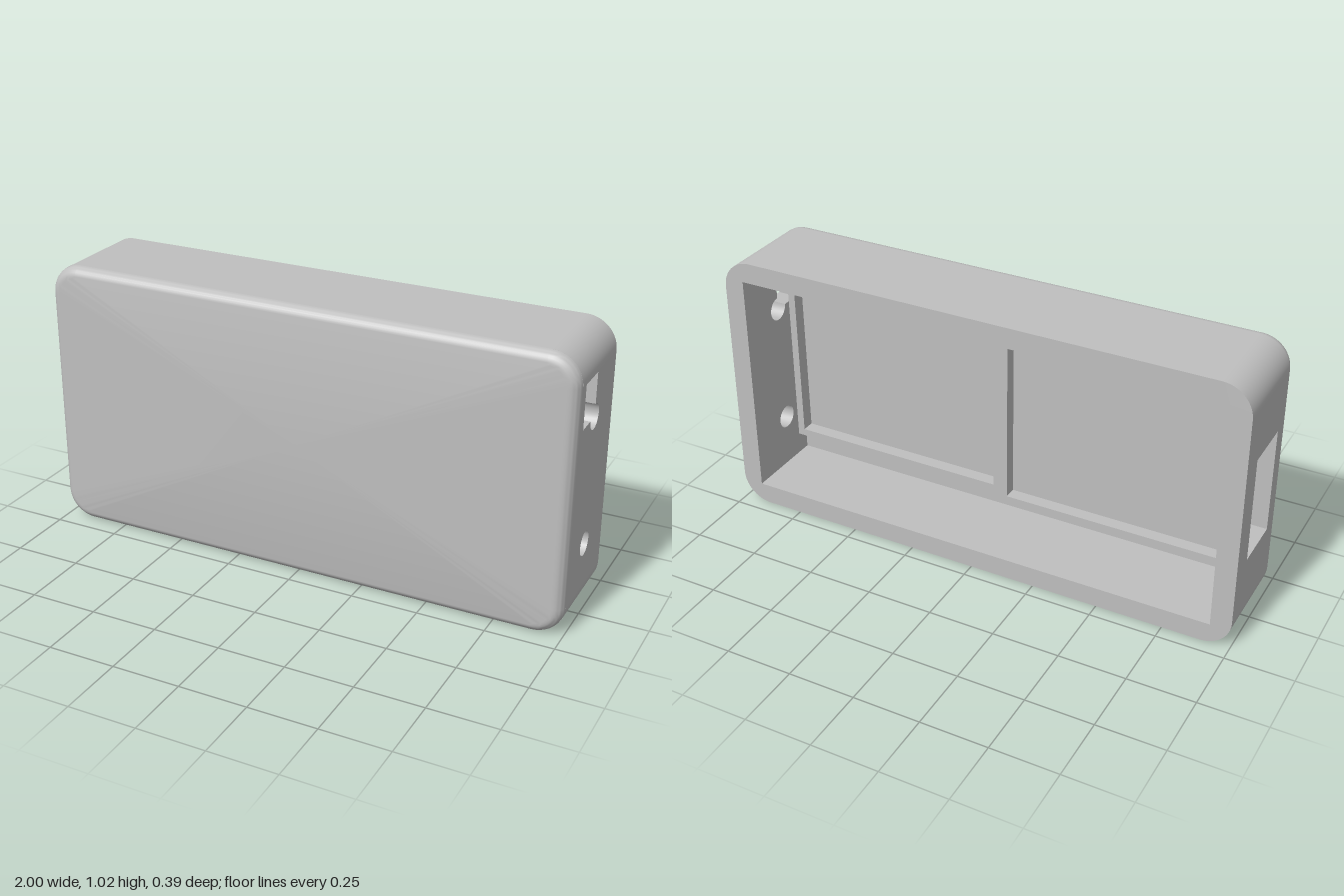
import * as THREE from 'three';
import { toCreasedNormals } from 'three/addons/utils/BufferGeometryUtils.js';

const H = 1.02, WALL = 0.077, R = 0.11, FILLET = 0.04, STEPS = 10;
const BACK = -0.196, FRONT = 0.196, FLOOR = 0.119, RIB_TOP = 0.07;
const RIM = FRONT - FILLET; // where the front rounding starts
const IN = 1 - WALL;

const grey = new THREE.MeshStandardMaterial({ color: 0xbfbfbf });
grey.name = 'grey';

function rect(target, x0, x1, y0, y1) {
  target.moveTo(x0, y0);
  target.lineTo(x1, y0);
  target.lineTo(x1, y1);
  target.lineTo(x0, y1);
  target.closePath();
  return target;
}

function extrude(shape, depth) {
  const g = new THREE.ExtrudeGeometry(shape, { depth, bevelEnabled: false, curveSegments: STEPS });
  return toCreasedNormals(g, 0.5);
}

// Rounded rectangle outline, moved inwards by inset
function ring(inset) {
  const pts = [], r = R - inset;
  const corners = [[1 - R, R], [1 - R, H - R], [R - 1, H - R], [R - 1, R]];
  corners.forEach(([cx, cy], k) => {
    for (let i = 0; i <= STEPS; i++) {
      const a = (k - 1 + i / STEPS) * Math.PI / 2;
      pts.push([cx + r * Math.cos(a), cy + r * Math.sin(a)]);
    }
  });
  return pts;
}

// Front face with its rounded edge
function frontGeometry() {
  const pos = [], idx = [], levels = 8;
  let n = 0;
  for (let i = 0; i <= levels; i++) {
    const a = i / levels * Math.PI / 2;
    const pts = ring(FILLET * (1 - Math.cos(a)));
    n = pts.length;
    pts.forEach(([x, y]) => pos.push(x, y, RIM + FILLET * Math.sin(a)));
  }
  const centre = pos.length / 3;
  pos.push(0, H / 2, FRONT);
  for (let j = 0; j < n; j++) {
    const k = (j + 1) % n;
    for (let i = 0; i < levels; i++) {
      const a = i * n + j, b = i * n + k;
      idx.push(a, b, b + n, a, b + n, a + n);
    }
    idx.push(levels * n + j, levels * n + k, centre);
  }
  const g = new THREE.BufferGeometry();
  g.setAttribute('position', new THREE.Float32BufferAttribute(pos, 3));
  g.setIndex(idx);
  return toCreasedNormals(g, 0.6);
}

// Bottom wall with both rounded corners; the top wall is its half turn
function endWallGeometry() {
  const s = new THREE.Shape();
  s.moveTo(-1, R);
  s.absarc(R - 1, R, R, Math.PI, Math.PI * 1.5, false);
  s.lineTo(1 - R, 0);
  s.absarc(1 - R, R, R, -Math.PI / 2, 0, false);
  s.lineTo(IN, R);
  s.lineTo(IN, WALL);
  s.lineTo(-IN, WALL);
  s.lineTo(-IN, R);
  s.closePath();
  return extrude(s, RIM - BACK).translate(0, 0, BACK);
}

// Flat side wall drawn in (z, y) and extruded across its thickness
function sideWallGeometry(holes, outerX) {
  const s = rect(new THREE.Shape(), BACK, RIM, R, H - R);
  s.holes.push(...holes);
  return extrude(s, WALL).rotateY(-Math.PI / 2).translate(outerX, 0, 0);
}

// Raised rectangular rim on the cavity floor
function frameGeometry(x0, x1, y0, y1) {
  const t = 0.028;
  const s = rect(new THREE.Shape(), x0, x1, y0, y1);
  s.holes.push(rect(new THREE.Path(), x0 + t, x1 - t, y0 + t, y1 - t));
  return extrude(s, FLOOR - RIB_TOP).translate(0, 0, RIB_TOP);
}

export function createModel() {
  const group = new THREE.Group();
  group.name = 'enclosure';
  const add = (name, geometry) => {
    const mesh = new THREE.Mesh(geometry, grey);
    mesh.name = name;
    group.add(mesh);
    return mesh;
  };

  add('frontPanel', frontGeometry());
  add('bottomWall', endWallGeometry());
  const top = add('topWall', endWallGeometry());
  top.rotation.z = Math.PI;
  top.position.y = H;

  // Cavity floor, facing the open back
  add('cavityFloor', new THREE.PlaneGeometry(2 * IN, H - 2 * WALL)
    .rotateY(Math.PI).translate(0, H / 2, FLOOR));

  // Left wall: round hole, and a square notch joined to a second round hole
  const r = 0.045, hy = 0.747;
  const roundHole = new THREE.Path().absarc(0, 0.277, r, 0, Math.PI * 2, false);
  const notch = new THREE.Path();
  notch.moveTo(FLOOR, 0.905);
  notch.lineTo(FLOOR, hy);
  notch.lineTo(r, hy);
  notch.absarc(0, hy, r, 0, -Math.PI * 1.5, true);
  notch.lineTo(0, 0.905);
  notch.closePath();
  add('leftWall', sideWallGeometry([roundHole, notch], 1));

  // Right wall: rectangular slot
  const slot = rect(new THREE.Path(), -0.1, 0.1, 0.313, 0.708);
  add('rightWall', sideWallGeometry([slot], -IN));

  // Two rims side by side, the right one slightly taller
  add('leftFrame', frameGeometry(0.02, IN, 0.16, 0.86));
  add('rightFrame', frameGeometry(-IN, 0.02, 0.125, 0.895));
  return group;
}
